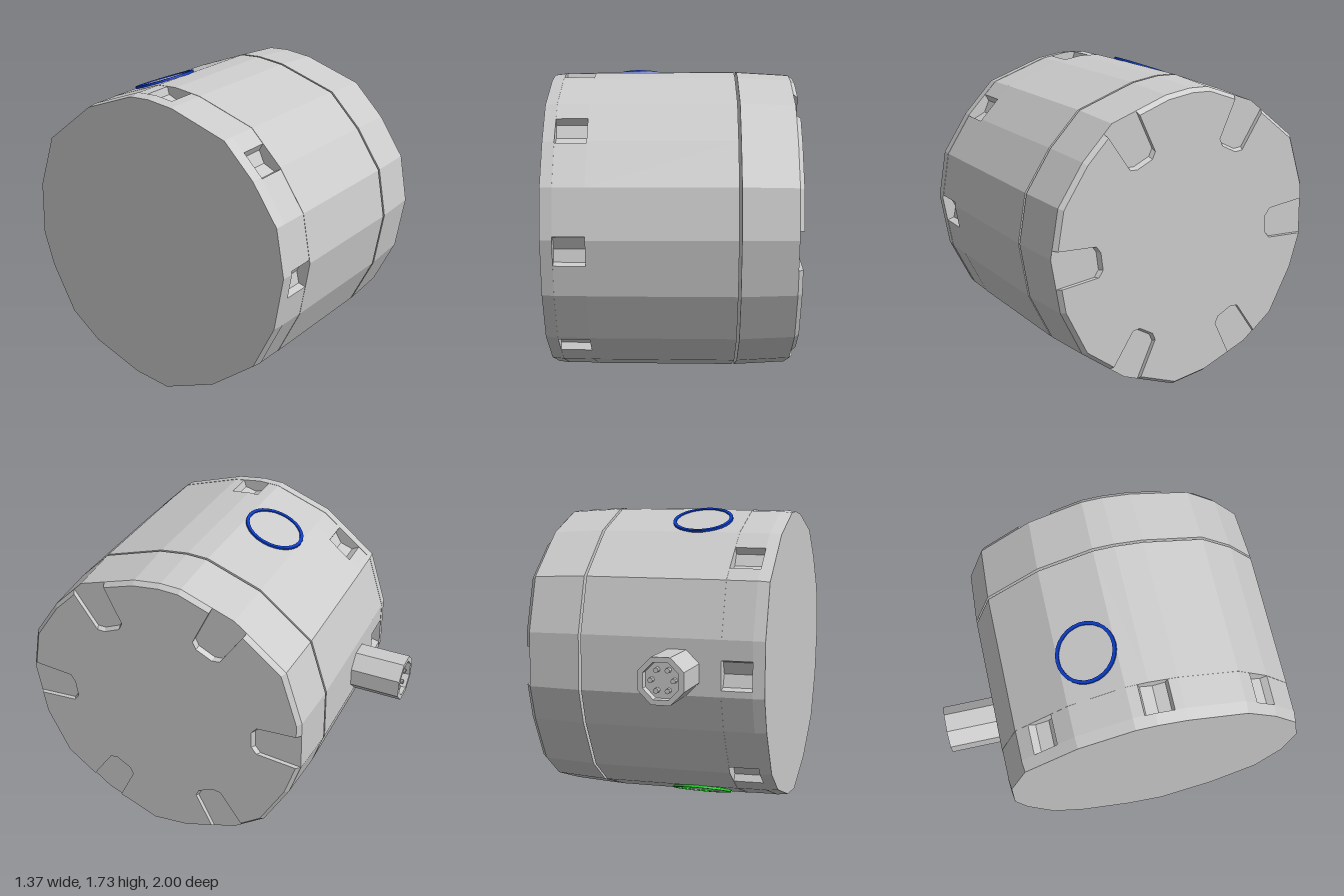
import * as THREE from 'three';

const CY = 0.867, CZ = 0.145;
const grey = new THREE.MeshStandardMaterial({ color: 0xcccccc, flatShading: true });
const blue = new THREE.MeshStandardMaterial({ color: 0x0a3cc8, flatShading: true });
const green = new THREE.MeshStandardMaterial({ color: 0x14e01e, flatShading: true });

// uneven faceted drum section as [z, y], turned into polar form about the axis
const SECTION = [
  [1, 0.93], [0.95, 1.2], [0.8, 1.42], [0.62, 1.6], [0.28, 1.71], [0.12, 1.73], [0, 1.725],
  [-0.31, 1.61], [-0.61, 1.37], [-0.71, 1.06], [-0.715, 0.75], [-0.65, 0.55], [-0.5, 0.28],
  [-0.31, 0.14], [0, 0.03], [0.22, 0.005], [0.55, 0.14], [0.82, 0.35], [0.95, 0.62],
].map(([z, y]) => {
  const a = Math.atan2(y - CY, z - CZ);
  return { z: z - CZ, y: y - CY, a: a < 0 ? a + Math.PI * 2 : a };
});

// distance from the axis to the faceted outline in direction a
function radiusAt(a) {
  const dz = Math.cos(a), dy = Math.sin(a);
  let r = 0;
  SECTION.forEach((p, i) => {
    const q = SECTION[(i + 1) % SECTION.length];
    const ez = q.z - p.z, ey = q.y - p.y;
    const den = dz * ey - dy * ez;
    const t = (p.z * ey - p.y * ez) / den;
    const s = (p.z * dy - p.y * dz) / den;
    if (t > 0 && s >= -1e-6 && s <= 1 + 1e-6) r = t;
  });
  return r;
}

// outline with evenly spaced notches cut in from the rim
function outline(count = 0, half = 0, floorPoints = []) {
  const step = count ? (Math.PI * 2) / count : 1;
  const pts = SECTION
    .filter((p) => !count || Math.abs(p.a - Math.round(p.a / step) * step) > half + 0.01)
    .map((p) => ({ a: p.a, k: p.a, r: Math.hypot(p.z, p.y) }));
  for (let i = 0; i < count; i++) {
    const a = i * step;
    const corners = [[-half, 1], ...floorPoints, [half, 1]];
    corners.forEach(([da, f], j) => {
      // sort key keeps the corners of one notch in order
      const k = a + half * (j / (corners.length - 1) * 2 - 1);
      pts.push({ a: a + da, k, r: radiusAt(a + da) * f });
    });
  }
  pts.sort((p, q) => p.k - q.k);
  return new THREE.Shape(pts.map((p) => new THREE.Vector2(-p.r * Math.cos(p.a), p.r * Math.sin(p.a))));
}

// slab of the drum from x0 to x1, scaled about the axis at each end
function band(name, shape, x0, x1, s0 = 1, s1 = 1) {
  const geo = new THREE.ExtrudeGeometry(shape, { depth: x1 - x0, bevelEnabled: false });
  geo.rotateY(Math.PI / 2);
  const p = geo.attributes.position;
  for (let i = 0; i < p.count; i++) {
    const s = THREE.MathUtils.lerp(s0, s1, p.getX(i) / (x1 - x0));
    p.setXYZ(i, p.getX(i) + x0, p.getY(i) * s + CY, p.getZ(i) * s + CZ);
  }
  geo.computeVertexNormals();
  const mesh = new THREE.Mesh(geo, grey);
  mesh.name = name;
  return mesh;
}

// coloured ring lying on one facet, with a shallow faceted lens
function port(name, material, y, z, ny, nz) {
  const g = new THREE.Group();
  g.name = name;
  const shape = new THREE.Shape().absarc(0, 0, 0.172, 0, Math.PI * 2);
  shape.holes.push(new THREE.Path().absarc(0, 0, 0.153, 0, Math.PI * 2, true));
  const ring = new THREE.Mesh(
    new THREE.ExtrudeGeometry(shape, { depth: 0.02, bevelEnabled: false, curveSegments: 14 }), material);
  ring.name = name + 'Ring';
  ring.position.z = -0.01;
  const lens = new THREE.Mesh(new THREE.CircleGeometry(0.155, 14), grey);
  lens.name = name + 'Lens';
  lens.position.z = 0.003;
  g.add(ring, lens);
  g.position.set(-0.2, y, z);
  g.lookAt(-0.2, y + ny, z + nz);
  return g;
}

// eight-sided cable socket with a recessed floor and six pins
function connector() {
  const g = new THREE.Group();
  g.name = 'connector';
  const octagon = (r) => Array.from({ length: 8 }, (_, i) => {
    const a = (i + 0.5) * Math.PI / 4;
    return new THREE.Vector2(Math.cos(a) * r, Math.sin(a) * r);
  });
  const shape = new THREE.Shape(octagon(0.135));
  shape.holes.push(new THREE.Path(octagon(0.105)));
  const shell = new THREE.Mesh(new THREE.ExtrudeGeometry(shape, { depth: 0.36, bevelEnabled: false }), grey);
  shell.name = 'connectorShell';
  const floor = new THREE.Mesh(new THREE.CylinderGeometry(0.12, 0.12, 0.02, 8).rotateX(Math.PI / 2), grey);
  floor.name = 'connectorFloor';
  floor.position.z = 0.3;
  g.add(shell, floor);
  for (let i = 0; i < 6; i++) {
    const a = (i * Math.PI) / 3;
    const pin = new THREE.Mesh(new THREE.CylinderGeometry(0.014, 0.014, 0.04, 8).rotateX(Math.PI / 2), grey);
    pin.name = 'pin';
    pin.position.set(Math.cos(a) * 0.062, Math.sin(a) * 0.062, 0.325);
    g.add(pin);
  }
  g.position.set(-0.205, 0.875, -0.64);
  g.rotation.y = Math.PI;
  return g;
}

export function createModel() {
  const model = new THREE.Group();
  model.name = 'drumHousing';
  const plain = outline();
  const screwNotches = outline(8, 0.095, [[-0.085, 0.95], [0, 0.92], [0.085, 0.95]]);
  const faceNotches = outline(6, 0.13, [[-0.15, 0.72], [-0.09, 0.68], [0.09, 0.68], [0.15, 0.72]]);

  // drum body with screw pockets near its closed end
  model.add(band('body', plain, -0.45, 0.343, 0.995, 1));
  model.add(band('screwPocketBand', screwNotches, -0.62, -0.45, 0.99, 0.993));
  model.add(band('endRim', plain, -0.685, -0.62, 0.982, 0.992));

  // separate end cap across a narrow gap, with shallow recesses in its face
  model.add(band('cap', plain, 0.357, 0.655, 1, 0.98));
  model.add(band('capFace', faceNotches, 0.655, 0.68, 0.98, 0.955));

  model.add(port('upperPort', blue, 1.667, -0.155, 0.31, -0.115));
  model.add(port('lowerPort', green, 0.085, -0.155, -0.31, -0.11));
  model.add(connector());
  return model;
}
